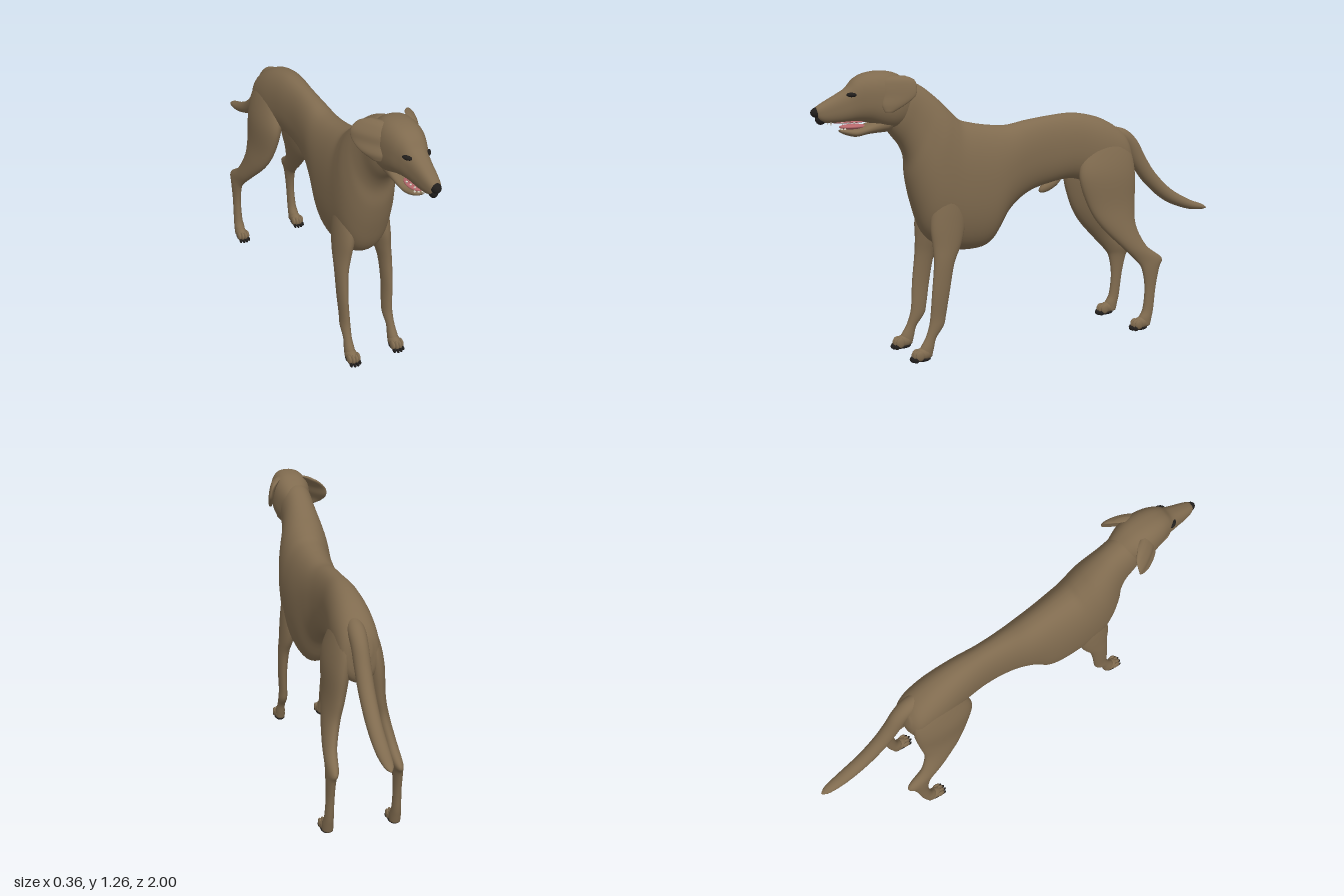
import * as THREE from 'three';

const mat = (name, color) => {
  const m = new THREE.MeshStandardMaterial({ color });
  m.name = name;
  return m;
};

// Smooth closed skin through oval rings; a ring is [centre, axis u, axis v].
// A power below 1 makes the ovals squarer.
function loft(rings, power = 1, sides = 32, steps = 5) {
  const n = (rings.length - 1) * steps;
  const curves = [0, 1, 2].map(k => new THREE.CatmullRomCurve3(
    rings.map(r => new THREE.Vector3(...r[k])), false, 'catmullrom', 0.5));
  const round = t => Math.sign(t) * Math.abs(t) ** power;
  const pos = [], idx = [];
  for (let i = 0; i <= n; i++) {
    const [c, u, v] = curves.map(q => q.getPoint(i / n));
    for (let j = 0; j < sides; j++) {
      const a = (j + .5) / sides * Math.PI * 2;
      const p = c.clone().addScaledVector(u, round(Math.cos(a))).addScaledVector(v, round(Math.sin(a)));
      pos.push(p.x, p.y, p.z);
    }
  }
  const quad = (a, b, c, d) => idx.push(a, b, c, b, d, c);
  for (let i = 0; i < n; i++) for (let j = 0; j < sides; j++) {
    const k = (j + 1) % sides;
    quad(i * sides + j, i * sides + k, (i + 1) * sides + j, (i + 1) * sides + k);
  }
  // end caps
  const first = pos.length / 3;
  pos.push(...rings[0][0], ...rings[rings.length - 1][0]);
  for (let j = 0; j < sides; j++) {
    const k = (j + 1) % sides;
    idx.push(first, k, j, first + 1, n * sides + j, n * sides + k);
  }
  // turn the faces outward when the signed volume is negative
  const P = i => new THREE.Vector3().fromArray(pos, i * 3);
  let vol = 0;
  for (let t = 0; t < idx.length; t += 3) vol += P(idx[t]).dot(P(idx[t + 1]).cross(P(idx[t + 2])));
  if (vol < 0) idx.reverse();
  const g = new THREE.BufferGeometry();
  g.setAttribute('position', new THREE.Float32BufferAttribute(pos, 3));
  g.setIndex(idx);
  g.computeVertexNormals();
  return g;
}

// Ring spanned by a top point, a bottom point (z, y) and a half width
const span = ([tz, ty, bz, by, w]) =>
  [[0, (ty + by) / 2, (tz + bz) / 2], [w, 0, 0], [0, (ty - by) / 2, (tz - bz) / 2]];
// Level ring for a limb
const level = s => ([x, y, z, rx, rz]) => [[s * x, y, z], [rx, 0, 0], [0, 0, rz]];

export function createModel() {
  const coat = mat('brown coat', 0x806b4f);
  const dark = mat('black nose and claws', 0x211e1c);
  const pink = mat('pink tongue', 0xb8686c);
  const white = mat('ivory teeth', 0xd9d2c3);
  const model = new THREE.Group();
  model.name = 'dog';

  const add = (parent, name, geo, m) => {
    const mesh = new THREE.Mesh(geo, m);
    mesh.name = name;
    parent.add(mesh);
    return mesh;
  };
  const blob = (parent, name, m, p, r) => {
    const mesh = add(parent, name, new THREE.SphereGeometry(1, 18, 12), m);
    mesh.position.set(...p);
    mesh.scale.set(...r);
    return mesh;
  };

  // Torso and neck
  add(model, 'torso', loft([
    [-.53, .89, -.55, .80, .04], [-.48, .945, -.53, .69, .085], [-.38, 1.0, -.40, .67, .094],
    [-.25, 1.028, -.25, .725, .08], [-.12, 1.022, -.12, .715, .07], [0, 1.008, 0, .68, .077],
    [.1, .992, .1, .605, .094], [.2, 1.0, .19, .475, .11], [.28, 1.015, .30, .45, .119],
    [.33, 1.03, .42, .475, .123], [.36, 1.055, .505, .54, .124], [.39, 1.083, .55, .66, .119],
    [.42, 1.113, .577, .78, .106], [.46, 1.148, .583, .87, .091], [.51, 1.185, .607, .93, .08],
    [.57, 1.213, .65, .985, .076], [.61, 1.215, .68, 1.03, .065],
  ].map(span), .9, 44), coat);

  // Tail
  add(model, 'tail', loft([
    [-.43, .935, .025], [-.495, .908, .039], [-.55, .86, .041], [-.60, .78, .039], [-.665, .695, .036],
    [-.765, .608, .032], [-.88, .552, .024], [-.965, .53, .014], [-.998, .522, .003],
  ].map(([z, y, r], i) => {
    const a = [.4, .7, .95, .95, .85, .6, .4, .25, .2][i];
    const w = [.025, .037, .036, .035, .034, .032, .029, .02, .004][i];
    return [[.014, y, z], [w, 0, 0], [0, r * Math.cos(a), -r * Math.sin(a)]];
  })), coat);

  // Belly fold
  const fold = blob(model, 'bellyFold', coat, [0, .708, -.128], [.022, .024, .065]);
  fold.rotation.x = .5;

  // Paw with four toes, claws and a pad; z is the paw centre
  const paw = (name, x, z) => {
    const g = new THREE.Group();
    g.name = name;
    g.position.set(x, 0, z);
    model.add(g);
    blob(g, 'pawBody', coat, [0, .034, -.008], [.026, .029, .04]);
    blob(g, 'pad', dark, [0, .012, -.001], [.025, .012, .04]);
    [-.021, -.0075, .0075, .021].forEach((dx, i) => {
      const f = i % 3 ? .008 : 0;
      blob(g, 'toe', coat, [dx, .031, .016 + f], [.009, .022, .021]);
      blob(g, 'claw', dark, [dx, .014, .033 + f], [.006, .012, .013]);
    });
  };

  for (const s of [-1, 1]) {
    const side = s > 0 ? 'left' : 'right';
    // Foreleg
    add(model, side + 'Foreleg', loft([
      [.055, .84, .41, .02, .03], [.066, .77, .41, .042, .065], [.077, .67, .418, .044, .078],
      [.087, .58, .427, .04, .08], [.097, .50, .436, .033, .066], [.107, .42, .455, .026, .047],
      [.11, .30, .473, .021, .041], [.106, .20, .485, .02, .036], [.106, .15, .495, .021, .034],
      [.108, .10, .523, .018, .025], [.109, .055, .543, .022, .032], [.109, .02, .55, .022, .03],
    ].map(level(s))), coat);
    paw(side + 'ForePaw', s * .109, .567);
    // Hind leg
    add(model, side + 'HindLeg', loft([
      [.04, .95, -.40, .02, .05], [.055, .85, -.40, .045, .12], [.073, .74, -.39, .053, .148],
      [.088, .60, -.406, .043, .124], [.107, .50, -.435, .037, .091], [.13, .40, -.508, .029, .064],
      [.14, .335, -.582, .025, .071], [.146, .29, -.59, .021, .047], [.148, .20, -.588, .018, .029],
      [.15, .10, -.577, .02, .027], [.151, .055, -.56, .024, .034], [.151, .02, -.555, .024, .03],
    ].map(level(s))), coat);
    paw(side + 'HindPaw', s * .152, -.53);
  }

  // Head
  const head = new THREE.Group();
  head.name = 'head';
  head.position.x = .01;
  model.add(head);
  add(head, 'skull', loft([
    [.53, 1.175, .58, 1.03, .05], [.62, 1.24, .64, 1.015, .082], [.69, 1.256, .69, 1.02, .089],
    [.76, 1.25, .755, 1.043, .079], [.81, 1.228, .80, 1.05, .063], [.845, 1.192, .84, 1.05, .05],
    [.885, 1.168, .88, 1.048, .042], [.935, 1.142, .93, 1.05, .034], [.973, 1.12, .962, 1.06, .025],
    [.985, 1.105, .975, 1.08, .013],
  ].map(span), .8, 40), coat);
  add(head, 'lowerJaw', loft([
    [.66, 1.08, .66, 1.0, .055], [.755, 1.04, .755, .995, .05], [.81, 1.022, .81, .986, .041],
    [.855, 1.022, .85, .995, .031], [.877, 1.018, .875, 1.007, .014],
  ].map(span), .9), coat);
  // Tongue, mouth lining and nose
  blob(head, 'tongue', pink, [0, 1.029, .82], [.034, .011, .058]);
  blob(head, 'palate', pink, [0, 1.05, .83], [.03, .006, .08]);
  blob(head, 'nose', dark, [0, 1.095, .972], [.021, .022, .028]);
  blob(head, 'noseCleft', dark, [0, 1.069, .957], [.018, .025, .024]);

  for (const s of [-1, 1]) {
    const side = s > 0 ? 'left' : 'right';
    // Eye
    const eye = blob(head, side + 'Eye', dark, [s * .046, 1.165, .838], [.022, .0095, .011]);
    eye.rotation.y = s * 1;
    // Teeth
    for (const [x, z, h] of [[.02, .92, .016], [.03, .875, .01], [.033, .85, .01], [.036, .825, .01]]) {
      const tooth = add(head, 'upperTooth', new THREE.ConeGeometry(.005, h, 8), white);
      tooth.position.set(s * x, 1.046, z);
      tooth.rotation.x = Math.PI;
    }
    for (const [x, z] of [[.02, .86], [.007, .868]]) {
      const tooth = add(head, 'lowerTooth', new THREE.ConeGeometry(.005, .018, 8), white);
      tooth.position.set(s * x, 1.028, z);
    }

    // Hanging ear; the right one turns its back edge further out
    const [flare, turn] = s > 0 ? [0, -.3] : [.012, -.6];
    add(head, side + 'Ear', loft([
      [.066, 1.238, .645, .012, .03], [.083, 1.222, .643, .017, .06],
      [.095 + flare, 1.19, .645, .015, .068], [.101 + flare, 1.155, .65, .013, .064],
      [.1 + flare, 1.12, .675, .011, .045], [.096, 1.09, .695, .007, .016],
    ].map(([x, y, z, t, w]) => [[s * x, y, z], [t, 0, 0], [s * turn * w, 0, w]])), coat);
  }
  return model;
}
